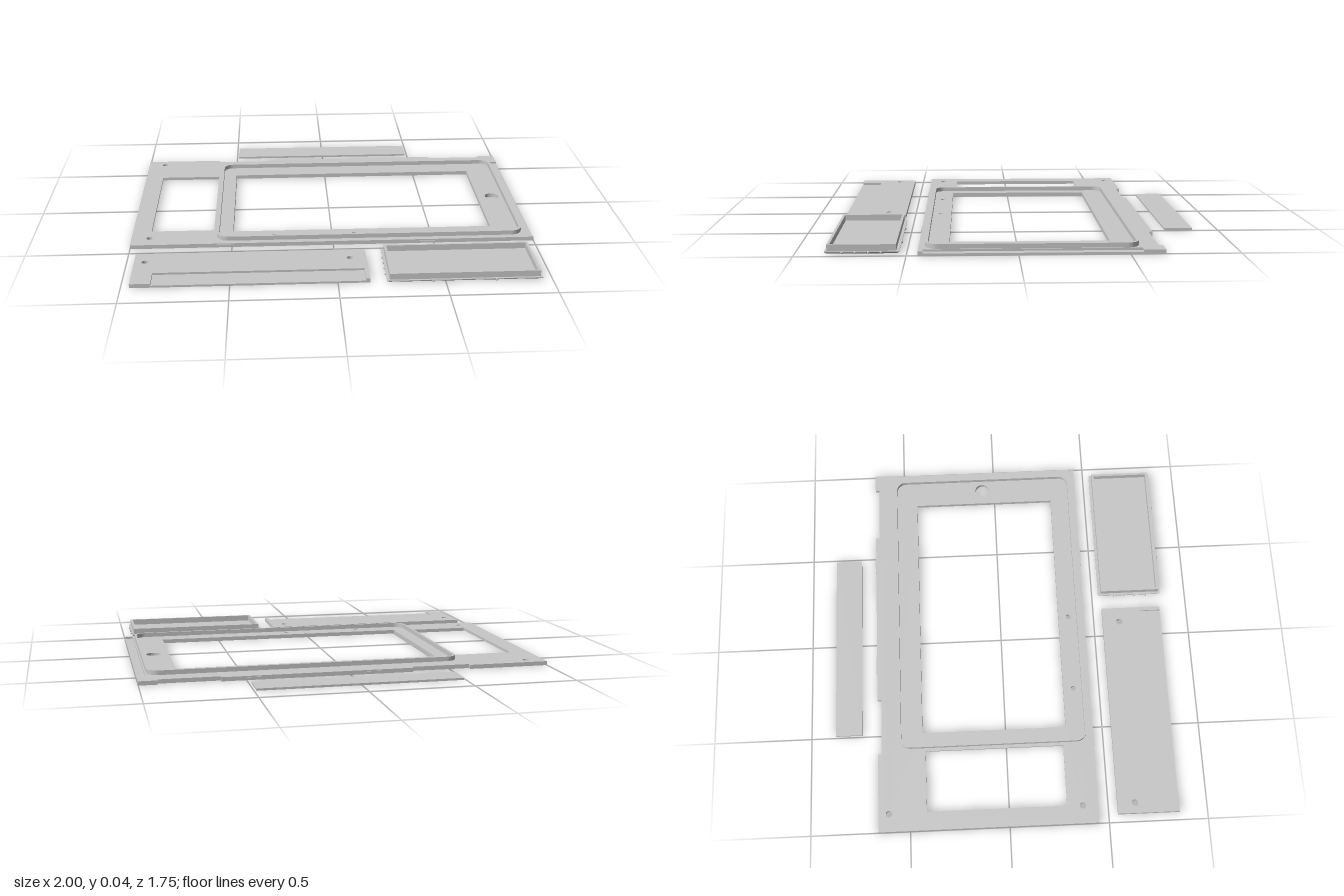
import * as THREE from 'three';

const grey = new THREE.MeshStandardMaterial({ color: 0xc8c8c8 });
grey.name = 'grey plastic';

// Outlines are given clockwise in plan as [x, z]; shape y is -z.
// They are reversed so that extruded outlines run counter-clockwise.
const trace = (path, pts) => {
  path.setFromPoints(pts.map(([x, z]) => new THREE.Vector2(x, -z)).reverse());
  path.closePath();
  return path;
};
const plan = (pts) => trace(new THREE.Shape(), pts);
const rectPts = (x0, x1, z0, z1) => [[x0, z0], [x1, z0], [x1, z1], [x0, z1]];
const rect = (...b) => trace(new THREE.Path(), rectPts(...b));
const hole = (x, z, r) => new THREE.Path().absarc(x, -z, r, 0, Math.PI * 2, true);

// Rectangle with rounded corners
function roundRect(path, x0, x1, z0, z1, r) {
  const corners = [[x1 - r, -z0 - r], [x0 + r, -z0 - r], [x0 + r, -z1 + r], [x1 - r, -z1 + r]];
  corners.forEach(([x, y], q) => path.absarc(x, y, r, q * Math.PI / 2, (q + 1) * Math.PI / 2, false));
  path.closePath();
  return path;
}

function addMesh(parent, name, geo) {
  const mesh = new THREE.Mesh(geo, grey);
  mesh.name = name;
  parent.add(mesh);
  return mesh;
}

// Extrude a plan shape upwards from y0 to y1
function slab(parent, name, shape, holes, y0, y1) {
  shape.holes.push(...holes);
  const geo = new THREE.ExtrudeGeometry(shape, { depth: y1 - y0, bevelEnabled: false, curveSegments: 10 });
  geo.rotateX(-Math.PI / 2).translate(0, y0, 0);
  return addMesh(parent, name, geo);
}
const box = (parent, name, b, y0, y1) => slab(parent, name, plan(rectPts(...b)), [], y0, y1);

function part(root, name) {
  const g = new THREE.Group();
  g.name = name;
  root.add(g);
  return g;
}

// Bezel plate with two windows, screw holes and a raised rim
function addBezel(root) {
  const g = part(root, 'bezel');
  const back = [
    [-1, 0.449], [-1, -0.659], [-0.6, -0.659], [-0.6, -0.639], [-0.31, -0.639], [-0.31, -0.659],
    [0.617, -0.659], [0.617, -0.639], [0.91, -0.639], [0.91, -0.659], [1, -0.659],
  ];
  const recess = [[1, -0.56], [0.96, -0.56], [0.96, 0.428], [1, 0.428]];
  // The side window is a little wider underneath, leaving a ledge
  const openings = (ledge) => [
    rect(-0.907 - ledge, -0.594 + ledge, -0.415 - ledge, 0.292 + ledge),
    rect(-0.497, 0.806, -0.429, 0.311),
    hole(-0.91, -0.606, 0.016), hole(-0.91, 0.372, 0.016),
    hole(-0.29, 0.364, 0.013), hole(0.111, 0.364, 0.013),
    hole(0.884, -0.066, 0.037),
  ];
  slab(g, 'plateBase', plan([...back, [1, 0.449]]), openings(0.012), 0, 0.01);
  slab(g, 'plateTop', plan([...back, ...recess, [1, 0.449]]), openings(0), 0.01, 0.02);

  slab(g, 'screenRim', roundRect(new THREE.Shape(), -0.577, 0.953, -0.55, 0.419, 0.06),
    [roundRect(new THREE.Path(), -0.565, 0.941, -0.538, 0.407, 0.048)], 0.02, 0.042);

  // Snap tabs on the long edges
  for (const [x, z] of [[-0.115, -0.659], [0.46, -0.659], [-0.55, 0.449], [0.46, 0.449]]) {
    const out = Math.sign(z) * 0.004;
    box(g, 'snapTab', [x - 0.046, x + 0.046, Math.min(z, z + out), Math.max(z, z + out)], 0.005, 0.014);
  }
}

// Cover panel with a shallow recess open to the front
function addCover(root) {
  const g = part(root, 'coverPanel');
  const screws = () => [hole(-0.907, 0.635, 0.016), hole(0.071, 0.635, 0.016)];
  slab(g, 'coverBase', plan(rectPts(-0.96, 0.149, 0.546, 0.857)), screws(), 0, 0.01);
  slab(g, 'coverTop', plan([
    [-0.96, 0.546], [0.149, 0.546], [0.149, 0.857], [0.13, 0.857],
    [0.13, 0.75], [-0.863, 0.75], [-0.863, 0.857], [-0.96, 0.857],
  ]), screws(), 0.01, 0.02);
}

// Shallow tray with a chamfered flange, walls and snap bumps
function addTray(root) {
  const g = part(root, 'tray');
  const [x0, x1, z0, z1] = [0.227, 0.955, 0.533, 0.867];
  const floor = new THREE.BoxGeometry(x1 - x0, 0.008, z1 - z0);
  const pos = floor.attributes.position;
  for (let i = 0; i < pos.count; i++) {
    if (pos.getY(i) > 0) continue;
    pos.setX(i, pos.getX(i) - Math.sign(pos.getX(i)) * 0.012);
    pos.setZ(i, pos.getZ(i) - Math.sign(pos.getZ(i)) * 0.012);
  }
  floor.computeVertexNormals();
  addMesh(g, 'trayFloor', floor).position.set((x0 + x1) / 2, 0.004, (z0 + z1) / 2);
  box(g, 'trayFlange', [x0, x1, z0, z1], 0.008, 0.012);
  slab(g, 'trayWall', plan(rectPts(0.24, 0.946, 0.547, 0.857)),
    [rect(0.252, 0.934, 0.559, 0.845)], 0.012, 0.042);

  const bump = (x, z) =>
    addMesh(g, 'snapBump', new THREE.SphereGeometry(0.006, 10, 8)).position.set(x, 0.007, z);
  for (const x of [0.442, 0.739]) for (const z of [z0, z1]) bump(x, z);
  for (const z of [0.614, 0.67, 0.729, 0.787]) for (const x of [x0, x1]) bump(x, z);
}

export function createModel() {
  const root = new THREE.Group();
  root.name = 'panelKit';
  addBezel(root);
  addCover(root);
  addTray(root);
  box(root, 'backStrip', [-0.491, 0.489, -0.875, -0.738], 0, 0.01);
  return root;
}
